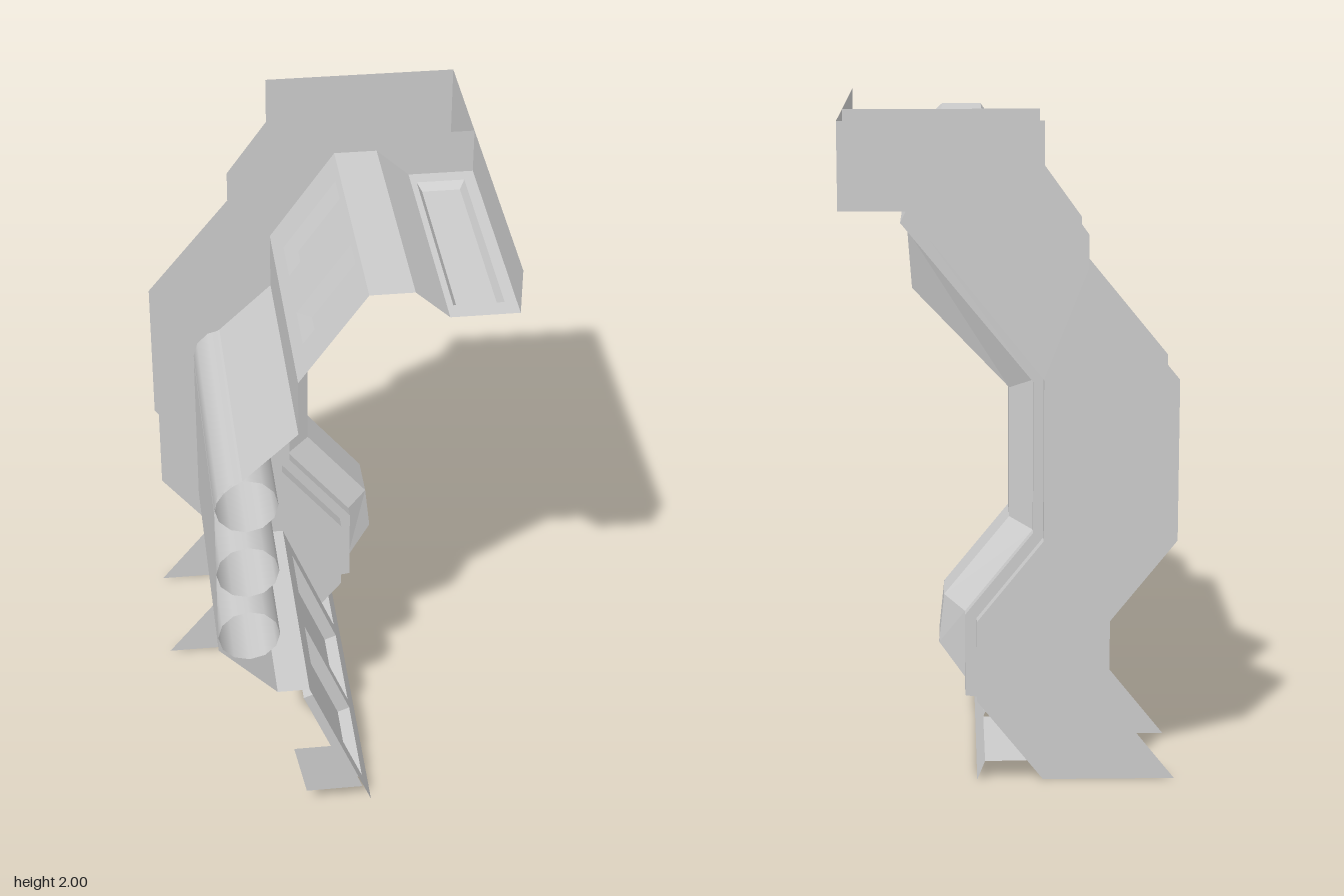
import * as THREE from 'three';

const material = new THREE.MeshStandardMaterial({ color: 0xcccccc, side: THREE.DoubleSide });

function addMesh(parent, name, geometry) {
  const mesh = new THREE.Mesh(geometry, material);
  mesh.name = name;
  parent.add(mesh);
  return mesh;
}

// Flat-shaded surface from a list of four-cornered faces
function quads(list) {
  const pos = [];
  for (const [a, b, c, d] of list) pos.push(...a, ...b, ...c, ...a, ...c, ...d);
  const g = new THREE.BufferGeometry();
  g.setAttribute('position', new THREE.Float32BufferAttribute(pos, 3));
  g.computeVertexNormals();
  return g;
}

const at = ([x, y], z) => [x, y, z];

// Straight sheet running along z between profile points p (low) and q (high)
const strip = (p, q, z0, z1) => [at(p, z1), at(p, z0), at(q, z0), at(q, z1)];

// Sheet between p and q with rectangular openings, each closed by a raised or sunken tray.
// An opening is { z: [min, max], t: [start, end] along p-q }.
function trayPanel(parent, name, p, q, z0, z1, openings, depth, inset) {
  const v = new THREE.Vector3(q[0] - p[0], q[1] - p[1], 0);
  const len = v.length();
  v.normalize();
  const u = new THREE.Vector3(0, 0, -1);
  const n = u.clone().cross(v);
  const frame = new THREE.Matrix4().makeBasis(u, v, n).setPosition(p[0], p[1], 0);
  const rect = (a, b, c, d) => [[a, c], [b, c], [b, d], [a, d]];
  const toPath = (pts) => pts.map(([x, y]) => new THREE.Vector2(x, y));

  const shape = new THREE.Shape(toPath(rect(-z1, -z0, 0, len)));
  const faces = [];
  for (const { z, t } of openings) {
    const [a, b, c, d] = [-z[1], -z[0], t[0] * len, t[1] * len];
    const outer = rect(a, b, c, d);
    const inner = rect(a + inset, b - inset, c + inset, d - inset);
    shape.holes.push(new THREE.Path(toPath(outer).reverse()));
    for (let i = 0; i < 4; i++) {
      const j = (i + 1) % 4;
      faces.push([at(outer[i], 0), at(outer[j], 0), at(inner[j], depth), at(inner[i], depth)]);
    }
    faces.push(inner.map((pt) => at(pt, depth)));
  }
  addMesh(parent, name, new THREE.ShapeGeometry(shape).applyMatrix4(frame));
  addMesh(parent, name + 'Trays', quads(faces).applyMatrix4(frame));
}

// Pillar: two side plates, open at the back, with a stepped rib on the front
function pillar() {
  const group = new THREE.Group();
  group.name = 'pillar';
  const near = -0.2, far = -0.6;
  const base = [[0.1, 0.25], [0.1, 0.5], [-0.1, 0.75], [-0.1, 1.24], [0.3, 1.74]];
  const outline = [
    [-0.1, 0], ...base, [0.5, 1.74], [0.5, 2], [-0.1, 2], [-0.1, 1.85], [-0.23, 1.67], [-0.23, 1.57],
    [-0.5, 1.24], [-0.5, 0.75], [-0.3, 0.5], [-0.3, 0.25], [-0.5, 0],
  ];
  const plate = new THREE.ShapeGeometry(new THREE.Shape(outline.map(([x, y]) => new THREE.Vector2(x, y))));
  addMesh(group, 'innerPlate', plate).position.z = near;
  const back = addMesh(group, 'outerPlate', plate.clone().scale(1, 1, -1));
  back.geometry.setIndex(Array.from(plate.index.array).reverse());
  back.geometry.computeVertexNormals();
  back.position.z = far;

  // Rib levels from the pillar face out to the crest
  const raised = [[0.135, 0.255], [0.135, 0.51], [-0.07, 0.764], [-0.07, 1.225], [0.32, 1.7]];
  const foot = [[0.135, 0.3], [0.135, 0.51], [-0.07, 0.764], [-0.07, 1.225], [0.3, 1.675]];
  const crest = [[0.214, 0.4], [0.198, 0.552], [0, 0.796], [0, 1.194], [0.288, 1.496]];
  const levels = [
    [base, near, far], [base, -0.245, -0.555], [raised, -0.245, -0.555],
    [foot, -0.285, -0.515], [crest, -0.325, -0.475],
  ];
  const faces = [];
  const last = base.length - 1;
  for (let k = 0; k < levels.length - 1; k++) {
    const [a, a1, a0] = levels[k];
    const [b, b1, b0] = levels[k + 1];
    for (let i = 0; i < last; i++) {
      faces.push([at(a[i], a1), at(b[i], b1), at(b[i + 1], b1), at(a[i + 1], a1)]);
      faces.push([at(b[i], b0), at(a[i], a0), at(a[i + 1], a0), at(b[i + 1], b0)]);
    }
    if (k > 0) {
      faces.push([at(a[0], a1), at(a[0], a0), at(b[0], b0), at(b[0], b1)]);
      faces.push([at(b[last], b1), at(b[last], b0), at(a[last], a0), at(a[last], a1)]);
    }
  }
  for (let i = 0; i < last; i++) faces.push(strip(crest[i], crest[i + 1], -0.475, -0.325));
  addMesh(group, 'steppedRib', quads(faces));

  addMesh(group, 'pillarFoot', quads([strip([-0.1, 0], [0.1, 0.25], far, near)]));
  addMesh(group, 'pillarHead', quads([
    strip([0.3, 1.74], [0.5, 1.74], far, near),
    strip([0.5, 1.74], [0.5, 2], far, near),
  ]));
  return group;
}

// Wall bay: a folded sheet with trays, pipes and a sloping skirt
function wallBay() {
  const group = new THREE.Group();
  group.name = 'wallBay';
  const z0 = -0.2, z1 = 0.6;
  const sheet = (name, pts) =>
    addMesh(group, name, quads(pts.slice(1).map((q, i) => strip(pts[i], q, z0, z1))));

  sheet('backWall', [
    [-0.1, 0.5], [-0.2, 0.5], [-0.38, 0.69], [-0.38, 1.22], [-0.372, 1.262], [-0.35, 1.295],
    [-0.325, 1.317], [-0.295, 1.335], [-0.13, 1.49], [-0.13, 1.67],
  ]);
  sheet('hood', [[0.07, 1.95], [0.2, 1.95], [0.3, 1.86]]);
  sheet('rim', [[0.5, 1.86], [0.5, 2]]);

  trayPanel(group, 'skirt', [0.1, 0], [-0.1, 0.5], z0, z1, [
    { z: [0.225, 0.55], t: [0.12, 0.87] },
    { z: [-0.145, 0.185], t: [0.12, 0.87] },
  ], -0.042, 0);
  trayPanel(group, 'upperSlope', [-0.13, 1.67], [0.07, 1.95], z0, z1, [
    { z: [0.3, 0.463], t: [0.145, 0.935] },
    { z: [-0.065, 0.097], t: [0.145, 0.935] },
  ], 0.04, 0.018);
  trayPanel(group, 'lampShelf', [0.3, 1.86], [0.5, 1.86], z0, z1, [
    { z: [-0.15, 0.54], t: [0.09, 0.825] },
  ], 0.025, 0.015);

  // Pipes, open at both ends
  for (const y of [0.74, 0.99, 1.24]) {
    const pipe = new THREE.CylinderGeometry(0.095, 0.095, z1 - z0, 12, 1, true).rotateX(Math.PI / 2);
    addMesh(group, 'pipe', pipe).position.set(-0.285, y, (z0 + z1) / 2);
  }

  // Kerb in front of the pillar and cap at the skirt's end
  addMesh(group, 'kerb', quads([
    strip([0.1, 0], [0.076, 0.06], -0.6, z0),
    strip([0.076, 0.06], [-0.05, 0.06], -0.6, z0),
  ]));
  addMesh(group, 'skirtCap', quads([
    [[-0.11, 0.06, z1], [0.072, 0.06, z1], [0, 0.25, z1], [-0.15, 0.25, z1]],
  ]));
  return group;
}

export function createModel() {
  const model = new THREE.Group();
  model.name = 'wallModule';
  model.add(pillar(), wallBay());
  return model;
}
